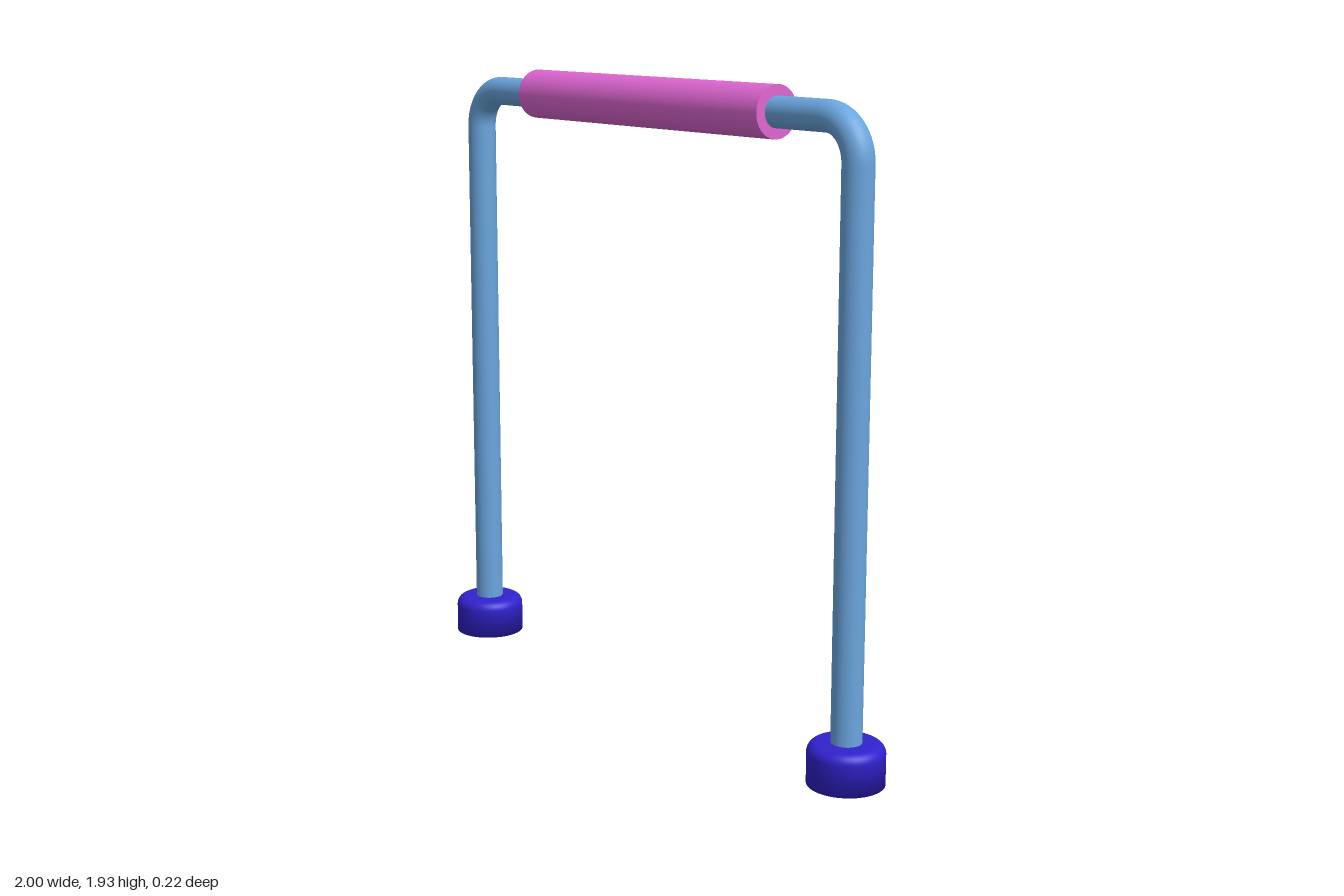
import * as THREE from 'three';

export function createModel() {
  const model = new THREE.Group();
  const blue = new THREE.MeshStandardMaterial({ color: 0x6aa5de });
  const pink = new THREE.MeshStandardMaterial({ color: 0xde66d2 });
  const navy = new THREE.MeshStandardMaterial({ color: 0x3022cc });

  const legX = 0.888, barY = 1.859, pipeR = 0.045, bendR = 0.12;
  const footR = 0.112, footH = 0.122, round = 0.03;

  const add = (parent, name, geometry, material, x = 0, y = 0) => {
    const mesh = new THREE.Mesh(geometry, material);
    mesh.name = name;
    mesh.position.set(x, y, 0);
    parent.add(mesh);
    return mesh;
  };

  // Foot profile: flat base, straight wall, rounded upper rim
  const profile = new THREE.Path();
  profile.moveTo(0, 0);
  profile.lineTo(footR, 0);
  profile.lineTo(footR, footH - round);
  profile.absarc(footR - round, footH - round, round, 0, Math.PI / 2);
  profile.lineTo(0, footH);
  const footGeometry = new THREE.LatheGeometry(profile.getPoints(8), 48);

  // Legs with feet and corner bends, one per side
  const legTop = barY - bendR;
  const legGeometry = new THREE.CylinderGeometry(pipeR, pipeR, legTop - 0.05, 32, 1, true);
  const bendGeometry = new THREE.TorusGeometry(bendR, pipeR, 32, 16, Math.PI / 2);
  for (const side of [1, -1]) {
    const support = new THREE.Group();
    support.name = side > 0 ? 'leftSupport' : 'rightSupport';
    support.rotation.y = side > 0 ? 0 : Math.PI;
    add(support, 'foot', footGeometry, navy, legX);
    add(support, 'leg', legGeometry, blue, legX, (legTop + 0.05) / 2);
    add(support, 'cornerBend', bendGeometry, blue, legX - bendR, legTop);
    model.add(support);
  }

  // Crossbar between the bends, with a thick padded sleeve
  const barLength = 2 * (legX - bendR);
  const bar = add(model, 'crossbar', new THREE.CylinderGeometry(pipeR, pipeR, barLength, 32, 1, true), blue, 0, barY);
  const sleeve = add(model, 'sleeve', new THREE.CylinderGeometry(0.076, 0.076, 1.13, 40), pink, 0, barY);
  bar.rotation.z = sleeve.rotation.z = Math.PI / 2;

  return model;
}
